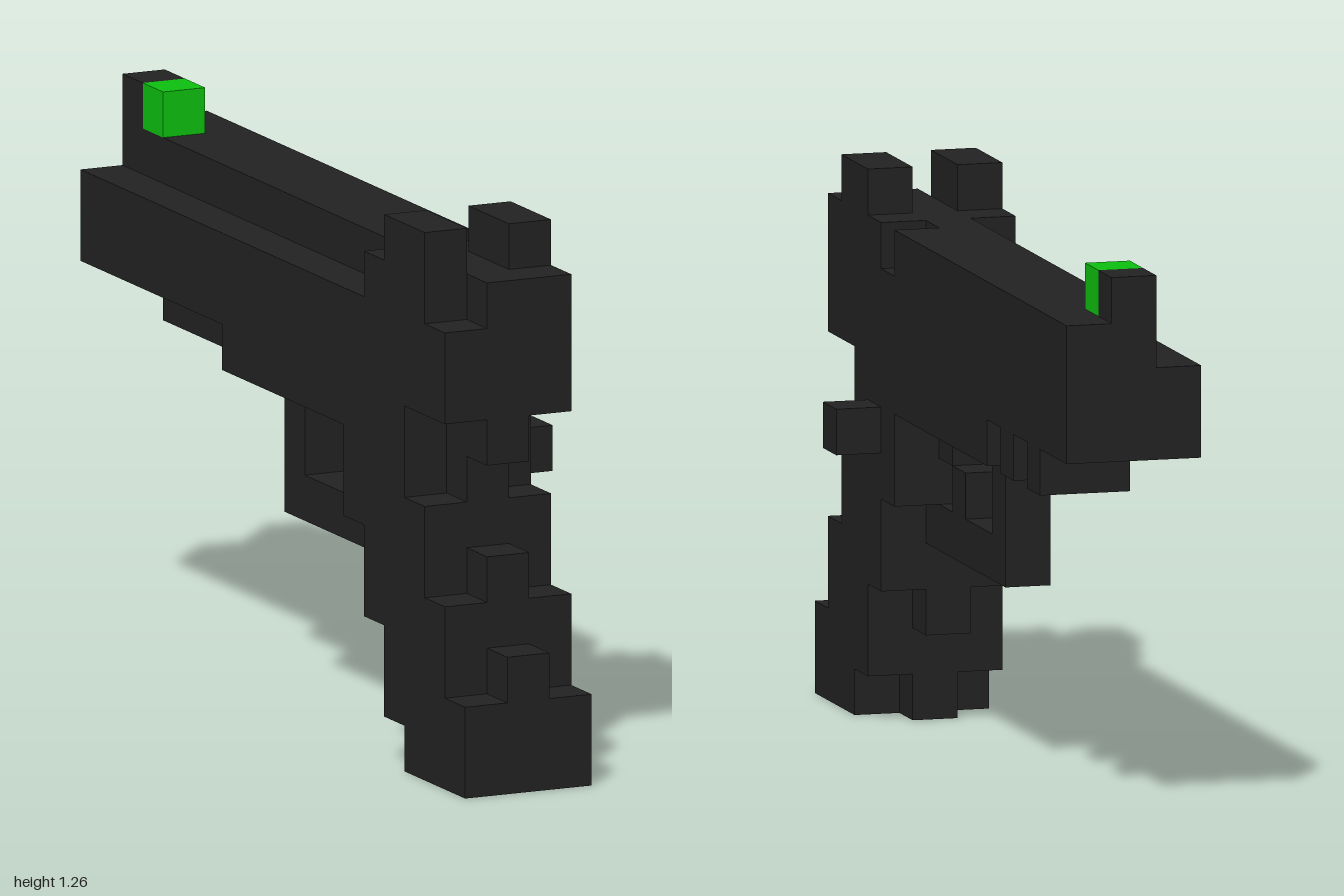
import * as THREE from 'three';

// Block grid: 4 cells wide (x), 12 high (y), 19 long (z, muzzle at cell 0)
const U = 2 / 19;

export function createModel() {
  const black = new THREE.MeshStandardMaterial({ color: 0x222222 });
  black.name = 'black';
  const green = new THREE.MeshStandardMaterial({ color: 0x0dc00f });
  green.name = 'green';

  const model = new THREE.Group();
  model.name = 'blockPistol';

  // Box over inclusive cell ranges [first, last] on each axis
  const block = (parent, name, [x0, x1], [y0, y1], [z0, z1], material = black) => {
    const w = x1 - x0 + 1, h = y1 - y0 + 1, d = z1 - z0 + 1;
    const mesh = new THREE.Mesh(new THREE.BoxGeometry(w * U, h * U, d * U), material);
    mesh.position.set((x0 + w / 2 - 2) * U, (y0 + h / 2) * U, (z0 + d / 2 - 9.5) * U);
    mesh.name = name;
    parent.add(mesh);
  };
  const section = (name) => {
    const group = new THREE.Group();
    group.name = name;
    model.add(group);
    return group;
  };

  // Slide, with a lowered right edge and an ejection notch on the left
  const slide = section('slide');
  block(slide, 'slideBody', [0, 2], [8, 9], [0, 17]);
  block(slide, 'topRib', [1, 1], [10, 10], [0, 17]);
  block(slide, 'topEdgeFront', [2, 2], [10, 10], [0, 12]);
  block(slide, 'topEdgeRear', [2, 2], [10, 10], [14, 17]);
  block(slide, 'rearShoulder', [0, 0], [10, 10], [14, 16]);

  // Sights
  const sights = section('sights');
  block(sights, 'frontSight', [1, 1], [11, 11], [0, 0]);
  block(sights, 'frontSightDot', [1, 1], [11, 11], [1, 1], green);
  for (const x of [0, 2]) block(sights, 'rearSight', [x, x], [11, 11], [15, 16]);

  // Frame under the slide, with rail teeth on one side
  const frame = section('frame');
  block(frame, 'frameCore', [1, 1], [7, 7], [2, 17]);
  block(frame, 'frameRightSide', [0, 0], [7, 7], [7, 15]);
  block(frame, 'frameLeftSide', [2, 2], [7, 7], [6, 15]);
  for (const z of [2, 4]) block(frame, 'railTooth', [2, 2], [7, 7], [z, z]);

  // Trigger and guard
  const trigger = section('triggerGroup');
  block(trigger, 'triggerTop', [1, 1], [6, 6], [12, 12]);
  block(trigger, 'triggerTip', [1, 1], [5, 5], [11, 11]);
  block(trigger, 'guardBottom', [1, 1], [4, 4], [8, 13]);
  block(trigger, 'guardFront', [1, 1], [5, 6], [8, 8]);

  // Grip, stepping backwards towards the base
  const grip = section('grip');
  block(grip, 'gripNeck', [0, 2], [6, 6], [13, 15]);
  block(grip, 'gripNeckRear', [1, 1], [6, 6], [16, 16]);
  block(grip, 'gripUpper', [0, 2], [5, 5], [13, 16]);
  block(grip, 'gripMiddle', [0, 2], [4, 4], [14, 16]);
  block(grip, 'gripMiddleRear', [1, 1], [4, 4], [17, 17]);
  block(grip, 'gripSwell', [0, 2], [3, 3], [14, 17]);
  block(grip, 'gripLower', [0, 2], [2, 2], [15, 17]);
  block(grip, 'gripLowerFront', [1, 1], [2, 2], [14, 14]);
  block(grip, 'gripLowerRear', [1, 1], [2, 2], [18, 18]);
  block(grip, 'gripHeel', [0, 2], [1, 1], [15, 18]);
  block(grip, 'magazineButton', [3, 3], [6, 6], [14, 14]);

  // Base ring around a shallow recess
  for (const x of [0, 2]) block(grip, 'baseSide', [x, x], [0, 0], [16, 18]);
  block(grip, 'baseFront', [1, 1], [0, 0], [15, 15]);
  block(grip, 'baseRear', [1, 1], [0, 0], [18, 18]);

  return model;
}
